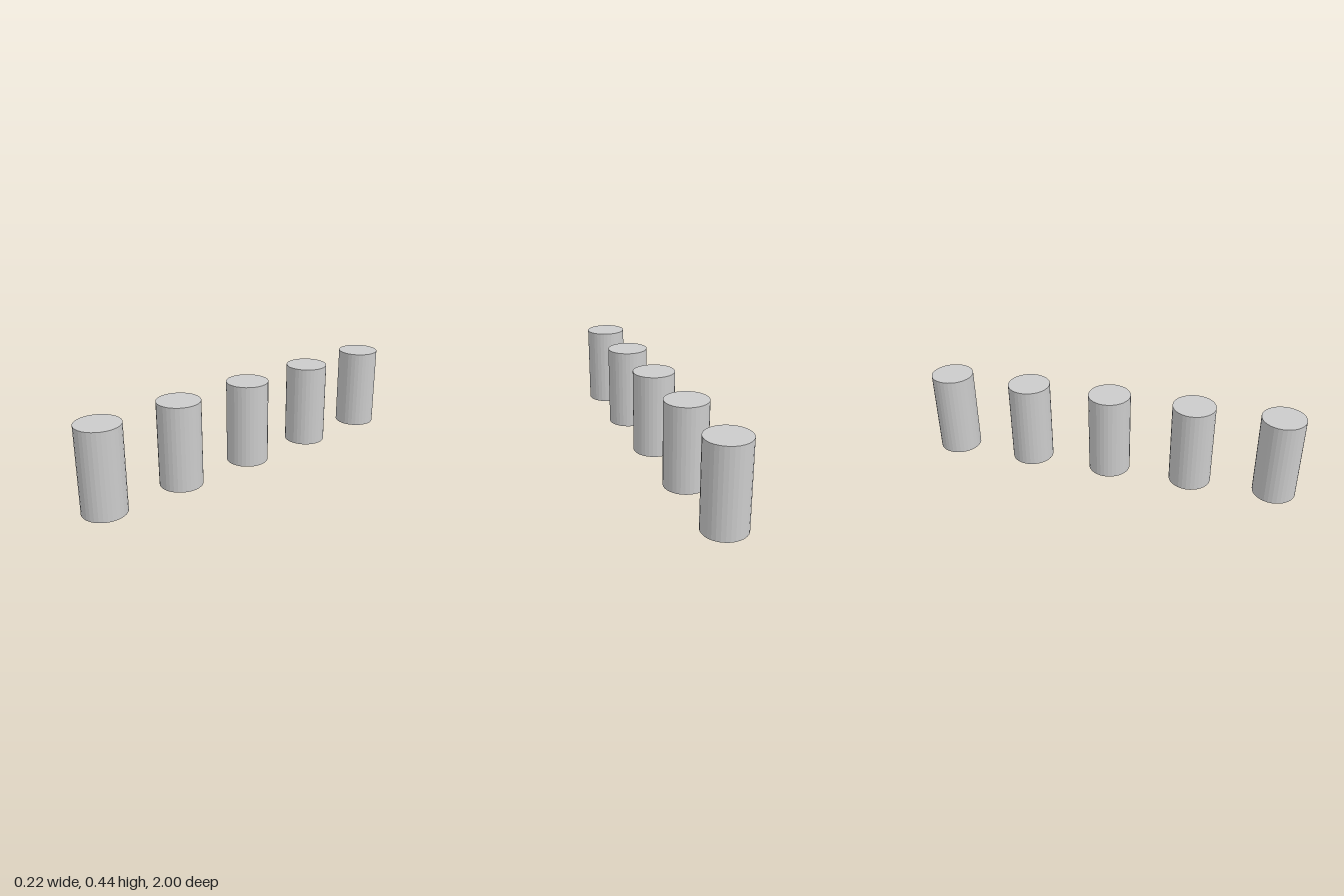
import * as THREE from 'three';

export function createModel() {
  const group = new THREE.Group();
  group.name = 'pillarRow';

  const count = 5;
  const radius = 1 / 9;
  const height = 4 * radius;
  const spacing = 4 * radius;

  // One faceted pillar shape shared by the whole row
  const geometry = new THREE.CylinderGeometry(radius, radius, height, 32);
  const material = new THREE.MeshStandardMaterial({ color: 0xcccccc, flatShading: true });

  // Evenly spaced pillars from front to back
  for (let i = 0; i < count; i++) {
    const pillar = new THREE.Mesh(geometry, material);
    pillar.name = `pillar${i + 1}`;
    pillar.position.set(0, height / 2, ((count - 1) / 2 - i) * spacing);
    group.add(pillar);
  }

  return group;
}
